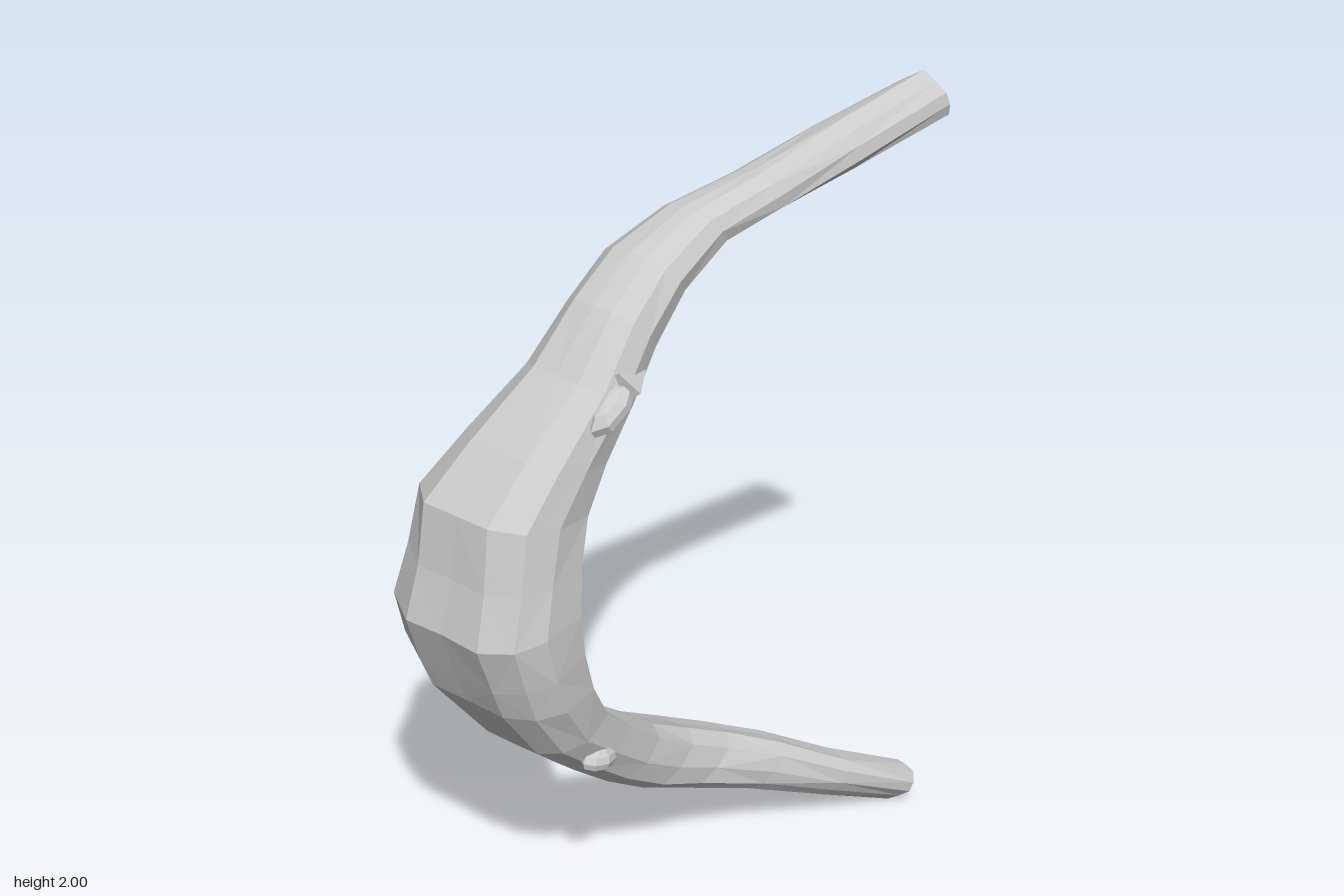
import * as THREE from 'three';

// Stations along the arch, top tip to bottom tip:
// outer x, outer y, inner x, inner y, back z, front z
const STATIONS = [
  [0.58, 2.00, 0.61, 1.89, 0.19, 0.32],
  [0.40, 1.92, 0.41, 1.80, 0.09, 0.23],
  [0.21, 1.83, 0.25, 1.73, 0.00, 0.15],
  [0.05, 1.78, 0.12, 1.68, -0.07, 0.10],
  [-0.09, 1.71, 0.00, 1.60, -0.125, 0.09],
  [-0.20, 1.62, -0.09, 1.50, -0.145, 0.09],
  [-0.31, 1.49, -0.17, 1.40, -0.175, 0.10],
  [-0.46, 1.35, -0.24, 1.29, -0.24, 0.095],
  [-0.575, 1.23, -0.30, 1.19, -0.29, 0.095],
  [-0.60, 1.08, -0.35, 1.09, -0.295, 0.105],
  [-0.635, 0.95, -0.38, 0.98, -0.31, 0.115],
  [-0.59, 0.82, -0.375, 0.87, -0.32, 0.115],
  [-0.56, 0.74, -0.34, 0.76, -0.31, 0.11],
  [-0.46, 0.59, -0.27, 0.65, -0.215, 0.09],
  [-0.34, 0.48, -0.17, 0.57, -0.175, 0.08],
  [-0.22, 0.38, -0.06, 0.48, -0.17, 0.075],
  [-0.10, 0.30, 0.06, 0.41, -0.14, 0.08],
  [0.02, 0.25, 0.17, 0.355, -0.075, 0.10],
  [0.20, 0.18, 0.30, 0.29, 0.00, 0.16],
  [0.40, 0.09, 0.45, 0.20, 0.09, 0.24],
  [0.60, 0.00, 0.63, 0.11, 0.18, 0.315],
];

// Cross-sections: u runs inner (-1) to outer (1), v runs back (-1) to front (1)
const ARM = [
  [-1, -0.35], [-0.65, -0.78], [-0.1, -1], [0.5, -0.92], [0.97, -0.5], [1, 0],
  [0.95, 0.45], [0.6, 0.85], [0, 1], [-0.65, 0.92], [-1, 0.52], [-1, 0.05],
];
// at the bend: sharp inner front ridge, groove behind it, bevelled inner back
const BEND = [
  [-0.8, -0.22], [-0.42, -0.62], [0.08, -0.9], [0.5, -1], [1, -0.56], [0.92, -0.05],
  [0.92, 0.5], [0.6, 0.85], [0, 1], [-0.95, 0.95], [-1, 0.55], [-0.8, 0.2],
];
// at the tips: a slanted angular block
const TIP = [
  [-1, 0.1], [-0.7, -0.4], [-0.2, -0.8], [0.2, -1], [0.5, -0.6], [0.8, -0.2],
  [1, 0.05], [0.6, 0.5], [0.2, 0.9], [-0.3, 1], [-0.8, 0.9], [-0.95, 0.5],
];

function loft(stations) {
  const pos = [], index = [], n = ARM.length, m = stations.length;
  stations.forEach(([ox, oy, ix, iy, zb, zf], i) => {
    const t = i / (m - 1);
    const bend = Math.exp(-(((t - 0.58) / 0.17) ** 2));
    const tip = Math.abs(2 * t - 1) ** 5;
    for (let j = 0; j < n; j++) {
      const mix = (c) => ARM[j][c] + (BEND[j][c] - ARM[j][c]) * bend + (TIP[j][c] - ARM[j][c]) * tip;
      // slight unevenness between the tips
      const shrink = i && i < m - 1 ? 1 - 0.05 * Math.abs(Math.sin(i * 12.9 + j * 7.3)) : 1;
      const k = (mix(0) * shrink + 1) / 2;
      pos.push(
        ix + (ox - ix) * k,
        iy + (oy - iy) * k,
        (zb + zf) / 2 + ((zf - zb) / 2) * mix(1) * shrink,
      );
    }
  });
  for (let i = 0; i < m - 1; i++) {
    for (let j = 0; j < n; j++) {
      const a = i * n + j, b = i * n + ((j + 1) % n);
      // alternate the diagonals for an irregular faceted surface
      if ((i + j) % 2) index.push(a, a + n, b + n, a, b + n, b);
      else index.push(a, a + n, b, b, a + n, b + n);
    }
  }
  // end caps
  [0, m - 1].forEach((i) => {
    const [ox, oy, ix, iy, zb, zf] = stations[i];
    const c = pos.length / 3;
    pos.push((ox + ix) / 2, (oy + iy) / 2, (zb + zf) / 2);
    for (let j = 0; j < n; j++) {
      const a = i * n + j, b = i * n + ((j + 1) % n);
      if (i === 0) index.push(c, a, b);
      else index.push(c, b, a);
    }
  });
  const geo = new THREE.BufferGeometry();
  geo.setAttribute('position', new THREE.Float32BufferAttribute(pos, 3));
  geo.setIndex(index);
  geo.computeVertexNormals();
  return geo;
}

export function createModel() {
  const group = new THREE.Group();
  group.name = 'curvedBranch';
  const material = new THREE.MeshStandardMaterial({ color: 0xcccccc, flatShading: true });
  const add = (name, geo, position, scale, rotation) => {
    const mesh = new THREE.Mesh(geo, material);
    mesh.name = name;
    mesh.position.set(...position);
    mesh.scale.set(...scale);
    mesh.rotation.set(...rotation);
    group.add(mesh);
  };

  // main arch
  add('arch', loft(STATIONS), [0, 0, 0], [1, 1, 1], [0, 0, 0]);

  // rough knot on the upper arm, with a wedge-shaped splinter beside it
  add('upperKnot', new THREE.SphereGeometry(1, 7, 5), [-0.27, 1.435, 0.085], [0.075, 0.035, 0.04], [0, 0, 0.6]);
  add('splinter', new THREE.ConeGeometry(0.05, 0.14, 4), [-0.175, 1.48, 0.068], [0.8, 1, 1], [0, 0.25, -1.45]);

  // small nub on the lower arm
  add('lowerKnot', new THREE.SphereGeometry(1, 8, 6), [-0.31, 0.535, 0.068], [0.052, 0.032, 0.035], [0, 0, -0.2]);

  return group;
}
